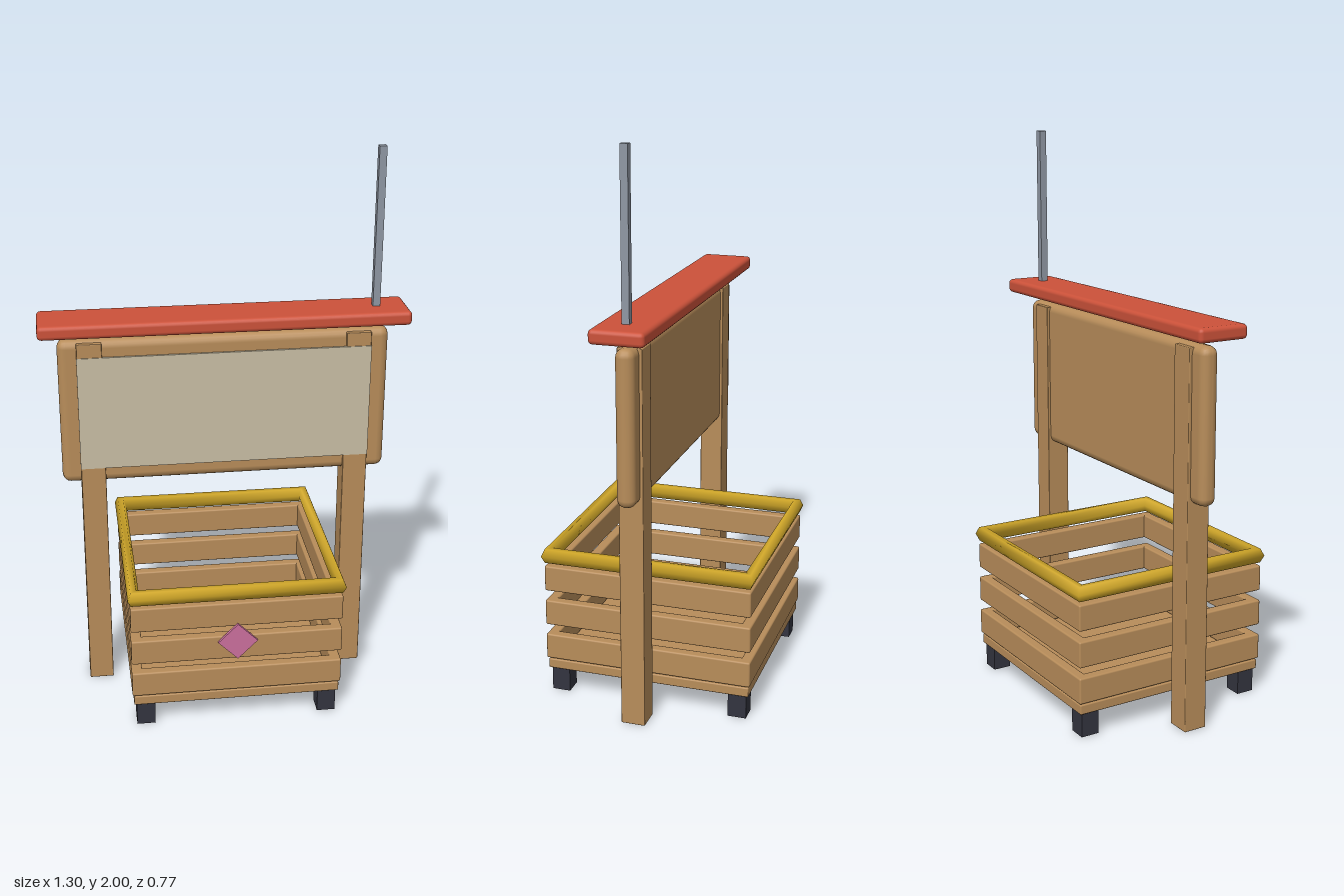
import * as THREE from 'three';
import { RoundedBoxGeometry } from 'three/addons/geometries/RoundedBoxGeometry.js';

function material(name, color) {
  const m = new THREE.MeshStandardMaterial({ color });
  m.name = name;
  return m;
}

export function createModel() {
  const wood = material('wood', 0xb88d5a);
  const red = material('red paint', 0xcc523a);
  const gold = material('gold', 0xcfa628);
  const cream = material('cream', 0xc9bea5);
  const metal = material('grey metal', 0x8f97a3);
  const dark = material('dark rubber', 0x33343f);
  const pink = material('pink', 0xcb709d);

  const model = new THREE.Group();
  model.name = 'signBasket';

  // Box given by size and centre; a radius rounds its edges
  function box(name, mat, [w, h, d], [x, y, z], radius = 0, parent = model) {
    const geo = radius
      ? new RoundedBoxGeometry(w, h, d, 2, radius)
      : new THREE.BoxGeometry(w, h, d);
    const mesh = new THREE.Mesh(geo, mat);
    mesh.name = name;
    mesh.position.set(x, y, z);
    parent.add(mesh);
    return mesh;
  }

  // Sign: posts, board, face panel, roof and pole
  for (const s of [-1, 1]) box(s > 0 ? 'leftPost' : 'rightPost', wood, [0.088, 1.35, 0.086], [s * 0.475, 0.675, 0], 0.003);
  box('signBoard', wood, [1.17, 0.54, 0.066], [0, 1.09, 0], 0.03);
  box('signPanel', cream, [1.04, 0.42, 0.008], [0, 1.09, 0.042]);
  box('roof', red, [1.3, 0.05, 0.188], [0, 1.411, 0], 0.015);
  box('pole', metal, [0.026, 0.575, 0.026], [0.538, 1.7125, 0]);

  // Basket: floor, feet and three rings of slats
  const basket = new THREE.Group();
  basket.name = 'basket';
  model.add(basket);
  box('basketFloor', wood, [0.745, 0.035, 0.745], [0, 0.1055, 0], 0.004, basket);
  for (const sx of [-1, 1]) {
    for (const sz of [-1, 1]) {
      box('foot', dark, [0.066, 0.09, 0.066], [sx * 0.33, 0.045, sz * 0.33], 0, basket);
    }
  }
  for (const y of [0.176, 0.308, 0.44]) {
    for (const s of [-1, 1]) {
      box('crossSlat', wood, [0.756, 0.094, 0.038], [0, y, s * 0.359], 0.006, basket);
      box('sideSlat', wood, [0.038, 0.094, 0.756], [s * 0.359, y, 0], 0.006, basket);
    }
  }

  // Four-sided gold rim
  const rimGeo = new THREE.TorusGeometry(0.516, 0.03, 6, 4);
  rimGeo.rotateZ(Math.PI / 4).rotateX(-Math.PI / 2);
  const rim = new THREE.Mesh(rimGeo, gold);
  rim.name = 'rim';
  rim.position.y = 0.525;
  basket.add(rim);

  // Diamond badge on the front slats
  const badge = box('diamondBadge', pink, [0.1, 0.1, 0.012], [0, 0.335, 0.382], 0, basket);
  badge.rotation.z = Math.PI / 4;

  return model;
}
